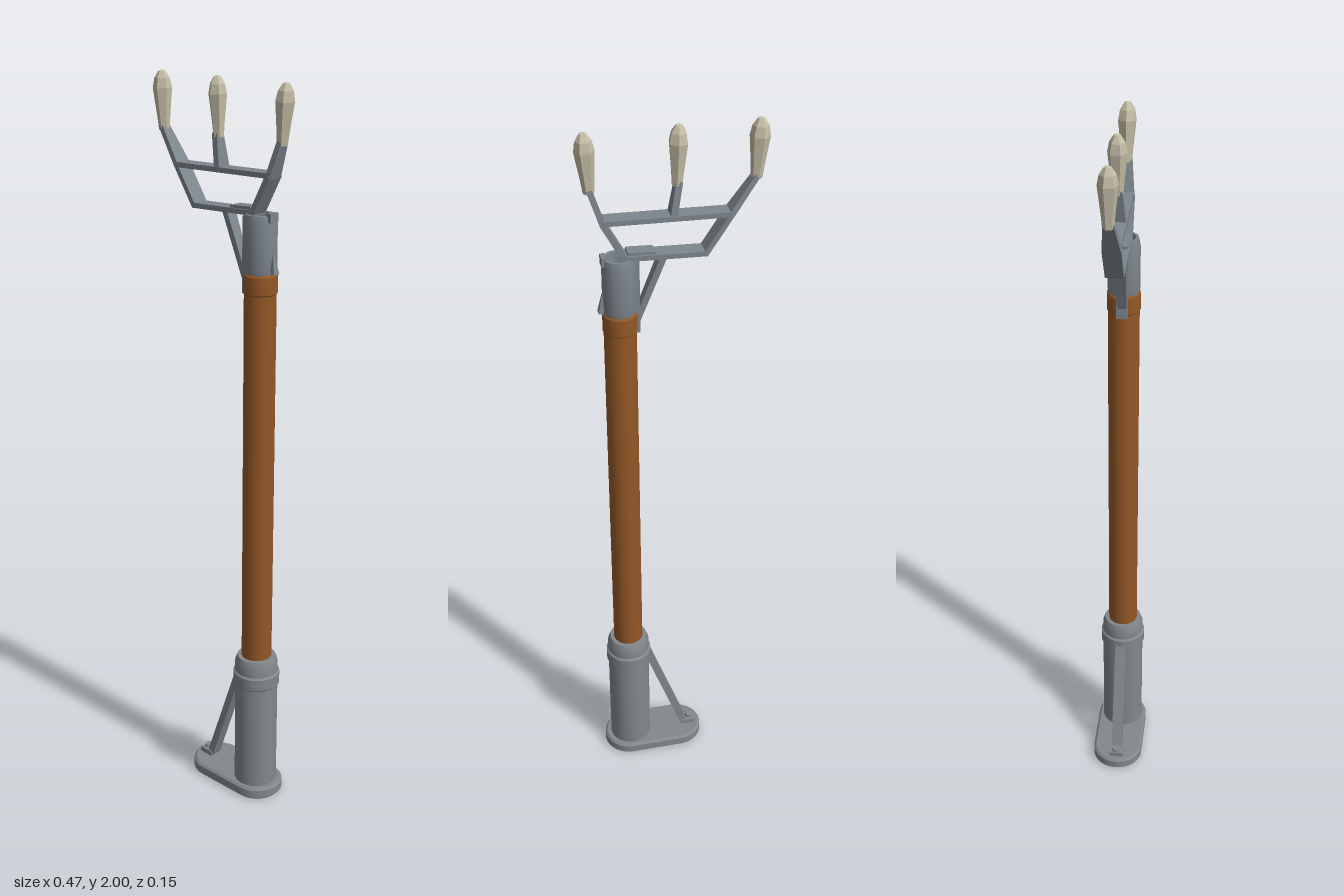
import * as THREE from 'three';
import { toCreasedNormals } from 'three/addons/utils/BufferGeometryUtils.js';

const mat = (name, color) => new THREE.MeshStandardMaterial({ name, color });
const POLE_X = 0.134;

export function createModel() {
  const model = new THREE.Group();
  const castIron = mat('castIron', 0x82888b);
  const steel = mat('blueSteel', 0x7d868d);
  const wood = mat('wood', 0x935826);
  const bone = mat('paleCrystal', 0xc4bda6);

  const add = (name, geometry, material, parent = model) => {
    const mesh = new THREE.Mesh(geometry, material);
    mesh.name = name;
    parent.add(mesh);
    return mesh;
  };

  // Turned part, profile listed from bottom to top
  const turned = (name, profile, sides, material, crease = 0.6) => {
    const g = new THREE.LatheGeometry(profile.map(p => new THREE.Vector2(...p)), sides);
    return add(name, toCreasedNormals(g, crease), material);
  };

  // Flat bar between two points in the xy plane, its depth tapering from w0 to w1
  const beam = (name, [x0, y0], [x1, y1], t, w0, w1 = w0, material = steel) => {
    const g = new THREE.BoxGeometry(Math.hypot(x1 - x0, y1 - y0) + t * 0.5, t, 1);
    const p = g.attributes.position;
    for (let i = 0; i < p.count; i++) p.setZ(i, p.getZ(i) * (p.getX(i) < 0 ? w0 : w1));
    g.computeVertexNormals();
    g.rotateZ(Math.atan2(y1 - y0, x1 - x0));
    g.translate((x0 + x1) / 2, (y0 + y1) / 2, 0);
    return add(name, g, material);
  };

  // Oval foot plate with a softened rim
  const oval = new THREE.Shape();
  const r = 0.067;
  oval.absarc(0.139, 0, r, -Math.PI / 2, Math.PI / 2);
  oval.absarc(-0.011, 0, r, Math.PI / 2, Math.PI * 1.5);
  const plate = new THREE.ExtrudeGeometry(oval, {
    depth: 0.023, bevelEnabled: true, bevelSize: 0.006, bevelThickness: 0.006,
    bevelSegments: 1, curveSegments: 10,
  });
  plate.rotateX(-Math.PI / 2).translate(0, 0.006, 0);
  add('footPlate', toCreasedNormals(plate, 0.5), castIron);

  // Iron socket with a raised band
  turned('socket', [
    [0, 0.03], [0.06, 0.03], [0.06, 0.345], [0.065, 0.35], [0.065, 0.383],
    [0.06, 0.388], [0.06, 0.415], [0.053, 0.433], [0, 0.433],
  ], 24, castIron).position.x = POLE_X;

  // Brace from the foot plate to the socket band
  beam('brace', [-0.03, 0.045], [0.082, 0.37], 0.02, 0.032, 0.032, castIron);
  beam('braceFoot', [-0.062, 0.042], [-0.03, 0.042], 0.016, 0.04, 0.04, castIron);
  const bolt = add('braceBolt', new THREE.CylinderGeometry(0.011, 0.013, 0.01, 10), castIron);
  bolt.position.set(-0.052, 0.053, 0);

  // Wooden pole and its top band
  turned('pole', [[0.042, 0.42], [0.042, 1.48]], 20, wood).position.x = POLE_X;
  turned('poleBand', [
    [0.041, 1.47], [0.0445, 1.474], [0.0445, 1.52], [0.04, 1.526], [0, 1.526],
  ], 20, wood).position.x = POLE_X;

  // Hollow head sleeve with a sunken mouth
  turned('headSleeve', [
    [0, 1.522], [0.041, 1.522], [0.043, 1.535], [0.043, 1.652], [0.039, 1.674],
    [0.031, 1.674], [0.027, 1.62], [0, 1.615],
  ], 12, steel).position.x = POLE_X;

  // Clamp strap down the arm side of the sleeve
  beam('clampStrap', [0.096, 1.472], [0.096, 1.66], 0.022, 0.03);
  beam('clampSpine', [0.182, 1.53], [0.172, 1.575], 0.012, 0.02, 0.006);
  beam('clampFin', [0.172, 1.66], [0.172, 1.678], 0.012, 0.03);

  // Cradle frame
  beam('lowerBar', [-0.08, 1.67], [0.125, 1.677], 0.013, 0.046);
  beam('lowerBarPad', [0.05, 1.68], [0.11, 1.683], 0.016, 0.036);
  beam('underStrut', [0.026, 1.665], [0.098, 1.485], 0.016, 0.032, 0.024);
  beam('farArmLower', [-0.08, 1.67], [-0.143, 1.767], 0.013, 0.046);
  beam('farArmUpper', [-0.143, 1.767], [-0.204, 1.855], 0.014, 0.046, 0.026);
  beam('nearArmLower', [0.122, 1.677], [0.172, 1.77], 0.015, 0.046);
  beam('nearArmUpper', [0.172, 1.77], [0.2, 1.855], 0.015, 0.044, 0.026);
  beam('crossBar', [-0.143, 1.767], [0.173, 1.774], 0.013, 0.044);
  beam('middleStalk', [0, 1.772], [-0.014, 1.855], 0.017, 0.04, 0.024);

  // Faceted crystals: x, lean and turn of each
  [[-0.205, 0.05, 0.2], [-0.011, 0.03, 0.9], [0.2, -0.07, 0.5]].forEach(([x, lean, turn]) => {
    const profile = [
      [0, 0], [0.014, 0], [0.017, 0.035], [0.025, 0.105], [0.02, 0.13], [0.009, 0.147], [0, 0.15],
    ].map(p => new THREE.Vector2(...p));
    const g = new THREE.LatheGeometry(profile, 6).toNonIndexed();
    g.computeVertexNormals();
    const crystal = add('crystal', g, bone);
    crystal.position.set(x, 1.848, 0);
    crystal.rotation.set(0, turn, lean, 'ZYX');
  });

  return model;
}
